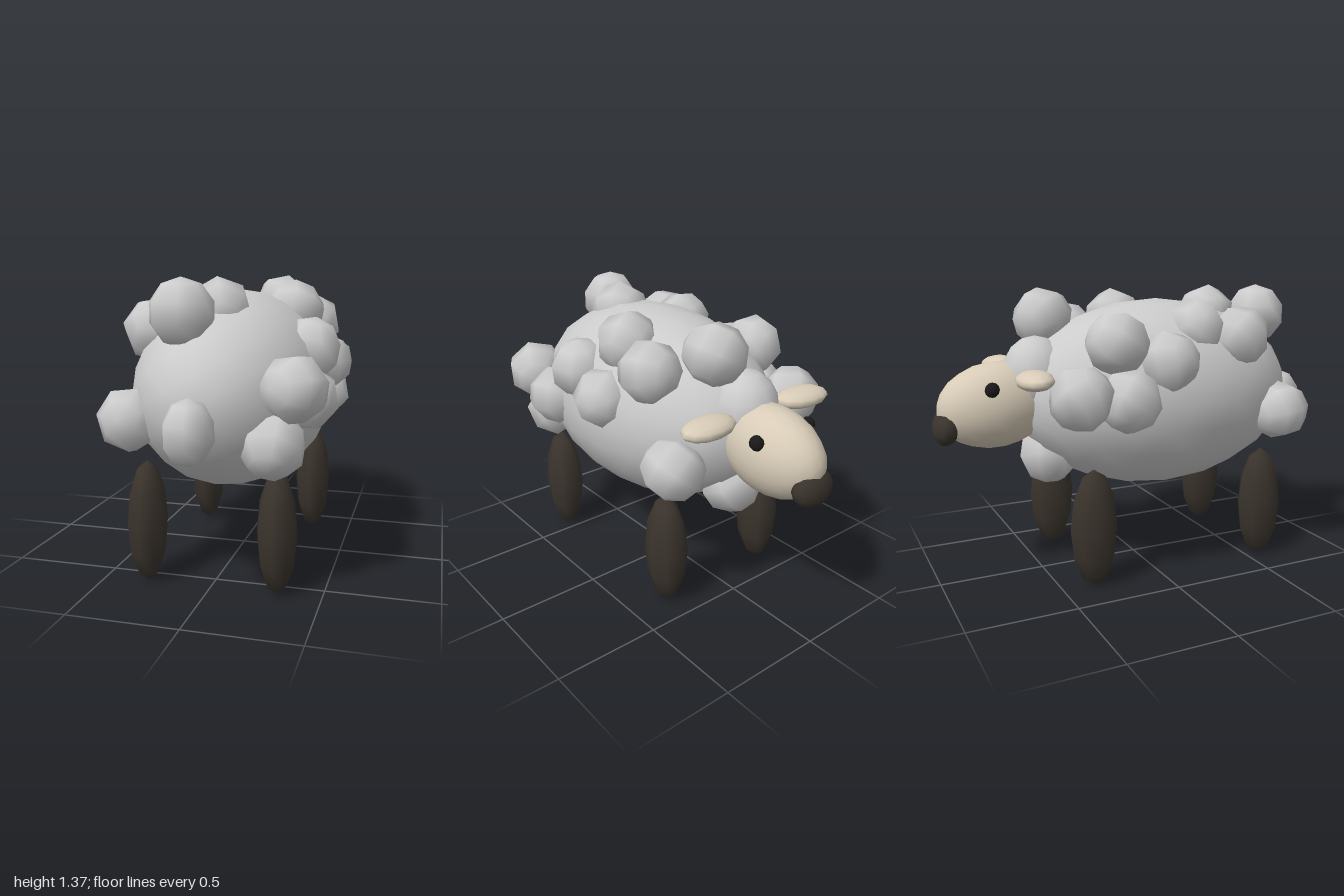
import * as THREE from 'three';

const wool = new THREE.MeshStandardMaterial({ color: 0xcccccc });
const skin = new THREE.MeshStandardMaterial({ color: 0xd8ccb8 });
const dark = new THREE.MeshStandardMaterial({ color: 0x3b342d });
const black = new THREE.MeshStandardMaterial({ color: 0x1c1a19 });

// Smooth-shaded low-poly balls
const roundBall = new THREE.IcosahedronGeometry(1, 3);
const tuftBall = new THREE.SphereGeometry(1, 7, 5);
const limbBall = new THREE.SphereGeometry(1, 8, 6);
const smallBall = new THREE.SphereGeometry(1, 12, 8);

export function createModel() {
  const group = new THREE.Group();

  function blob(name, geometry, material, position, size, rotation = [0, 0, 0]) {
    const mesh = new THREE.Mesh(geometry, material);
    mesh.name = name;
    mesh.position.set(...position);
    mesh.scale.set(...size);
    mesh.rotation.set(...rotation);
    group.add(mesh);
    return mesh;
  }

  // Body and neck
  blob('body', roundBall, wool, [0, 0.845, 0.12], [0.455, 0.46, 0.73]);
  blob('neckWool', smallBall, wool, [-0.01, 0.96, -0.51], [0.16, 0.19, 0.16]);

  // Wool tufts: x, y, z
  const tufts = [
    [-0.1, 1.22, 0.64], [0, 1.22, 0.41], [0.1, 1.22, -0.43],
    [0.25, 1.2, 0], [0.3, 1.13, -0.23], [0.37, 1.04, 0.22],
    [0.39, 0.96, 0], [0.38, 0.92, 0.64], [0.39, 0.85, 0.42],
    [0.29, 0.68, 0.64], [0.33, 0.74, -0.43], [0, 0.58, -0.45],
    [-0.24, 1.17, 0.21], [-0.3, 1.13, 0.42], [-0.32, 1.13, -0.23],
    [-0.37, 1.04, 0], [-0.39, 0.91, -0.43], [-0.39, 0.88, -0.2],
    [-0.34, 0.76, 0.64],
  ];
  tufts.forEach((p, i) => {
    blob('woolTuft', tuftBall, wool, p, [0.147, 0.147, 0.147], [i * 1.3, i * 2.1, i * 0.7]);
  });

  // Tail
  blob('tail', tuftBall, wool, [0, 0.765, 0.865], [0.11, 0.14, 0.135]);

  // Head and muzzle
  blob('head', roundBall, skin, [0, 0.84, -0.7], [0.165, 0.2, 0.275], [-0.12, 0, 0]);
  blob('muzzle', smallBall, dark, [0, 0.755, -0.935], [0.11, 0.085, 0.06], [0.2, 0, 0]);

  // Mirrored eyes, ears and legs
  for (const side of [-1, 1]) {
    blob('eye', limbBall, black, [side * 0.155, 0.935, -0.755], [0.03, 0.034, 0.034]);
    blob('ear', smallBall, skin, [side * 0.28, 0.985, -0.6], [0.145, 0.042, 0.083], [-0.08, side * 0.08, 0]);
    for (const [name, z] of [['frontLeg', -0.34], ['backLeg', 0.57]]) {
      blob(name, limbBall, dark, [side * 0.298, 0.28, z], [0.09, 0.28, 0.117]);
    }
  }

  return group;
}
